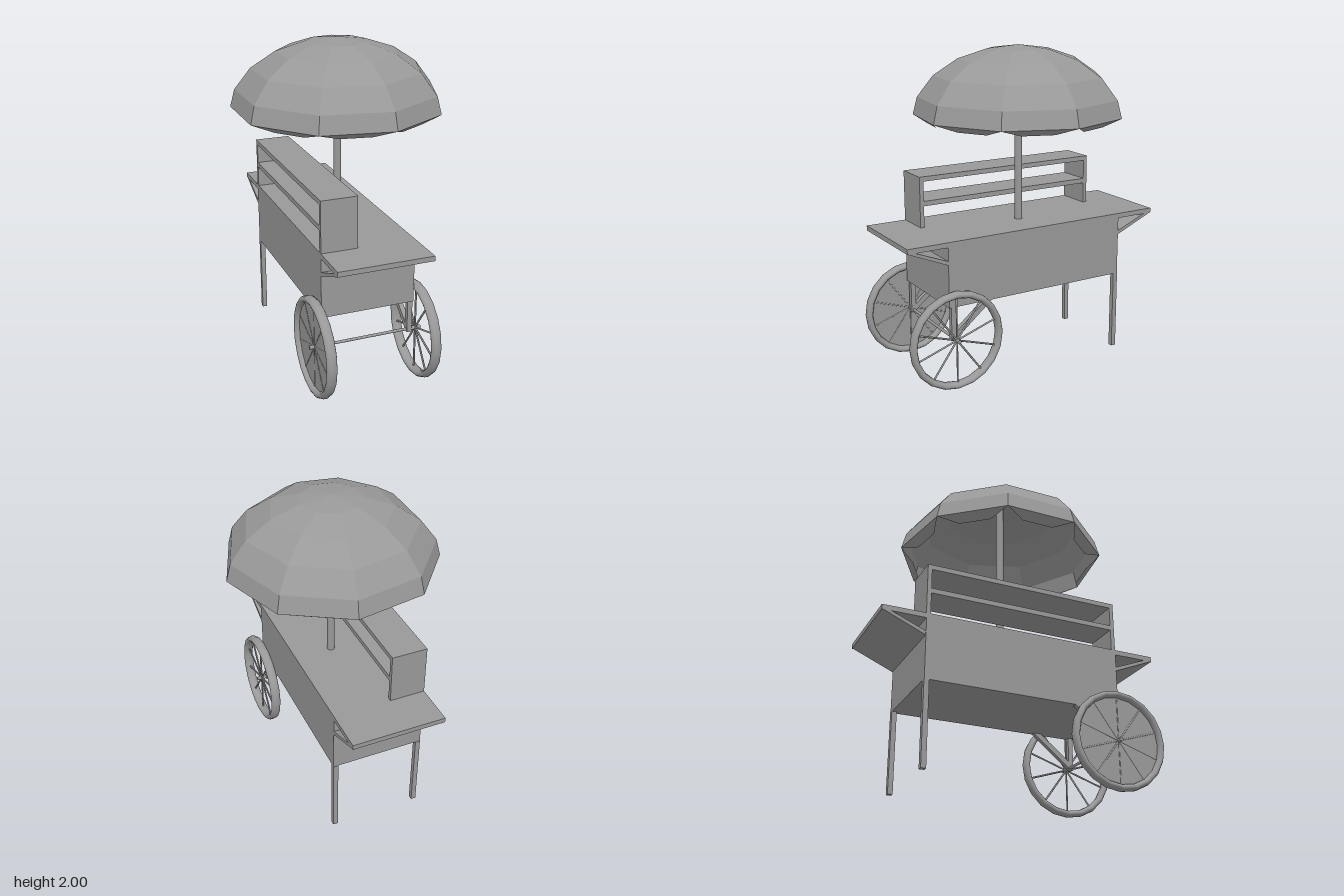
import * as THREE from 'three';

const grey = new THREE.MeshStandardMaterial({ color: 0x999999, side: THREE.DoubleSide });
grey.name = 'grey';

const X0 = -0.356, X1 = 0.23;          // cart sides
const LEG = 0.031;                     // leg thickness
const WHEEL_Y = 0.31, WHEEL_Z = 0.583;

function add(parent, name, geometry) {
  const mesh = new THREE.Mesh(geometry, grey);
  mesh.name = name;
  parent.add(mesh);
  return mesh;
}

// Box given by its extents on each axis
function block(parent, name, [x0, x1], [y0, y1], [z0, z1]) {
  const g = new THREE.BoxGeometry(x1 - x0, y1 - y0, z1 - z0);
  g.translate((x0 + x1) / 2, (y0 + y1) / 2, (z0 + z1) / 2);
  return add(parent, name, g);
}

// Side outline of [z, y] points, extruded from x0 to x1
function sideProfile(parent, name, points, x0, x1) {
  const shape = new THREE.Shape(points.map(([z, y]) => new THREE.Vector2(z, y)));
  const g = new THREE.ExtrudeGeometry(shape, { depth: x1 - x0, bevelEnabled: false });
  g.rotateY(-Math.PI / 2).translate(x1, 0, 0);
  return add(parent, name, g);
}

// Nine-panel canopy with a scalloped, inward-curling hem
function canopyGeometry() {
  const sides = 9;
  const profile = [[0, 2], [0.19, 1.976], [0.37, 1.916], [0.52, 1.815], [0.62, 1.685], [0.648, 1.578]];
  const at = ([r, y], i) => {
    const a = (i / sides) * Math.PI * 2;
    return new THREE.Vector3(Math.cos(a) * r, y, Math.sin(a) * r);
  };
  const out = [];
  const tri = (...ps) => ps.forEach((p) => out.push(p.x, p.y, p.z));
  const quad = (a, b, c, d) => { tri(a, b, c); tri(a, c, d); };
  for (let i = 0; i < sides; i++) {
    tri(at(profile[0], i), at(profile[1], i + 1), at(profile[1], i));
    for (let k = 1; k < profile.length - 1; k++) {
      quad(at(profile[k], i), at(profile[k], i + 1), at(profile[k + 1], i + 1), at(profile[k + 1], i));
    }
    const v1 = at(profile[5], i), v2 = at(profile[5], i + 1);
    const hem = (t) => {
      const p = v1.clone().lerp(v2, t);
      return new THREE.Vector3(p.x * 0.91, 1.538, p.z * 0.91);
    };
    quad(v1, v2, hem(0.74), hem(0.26));
  }
  const g = new THREE.BufferGeometry();
  g.setAttribute('position', new THREE.Float32BufferAttribute(out, 3));
  g.computeVertexNormals();
  return g;
}

// Spoked wheel lying in the side plane
function makeWheel(name, x, filled) {
  const wheel = new THREE.Group();
  wheel.name = name;
  wheel.position.set(x, WHEEL_Y, WHEEL_Z);
  const tyre = new THREE.TorusGeometry(0.286, 0.021, 12, 20);
  tyre.rotateZ(Math.PI / 2).scale(1, 1, 1.55).rotateY(Math.PI / 2);
  add(wheel, 'tyre', tyre);
  for (let i = 0; i < 10; i++) {
    const spoke = new THREE.CylinderGeometry(0.006, 0.006, 0.28, 6);
    spoke.translate(0, 0.14, 0).rotateX((i / 10) * Math.PI * 2);
    add(wheel, 'spoke', spoke);
  }
  const hub = new THREE.CylinderGeometry(0.012, 0.012, 0.066, 10);
  add(wheel, 'hub', hub.rotateZ(Math.PI / 2));
  if (filled) {
    const disc = new THREE.CylinderGeometry(0.284, 0.284, 0.006, 20);
    add(wheel, 'wheelDisc', disc.rotateZ(Math.PI / 2));
  }
  return wheel;
}

export function createModel() {
  const cart = new THREE.Group();
  cart.name = 'vendorCart';

  // Cabinet and counter
  block(cart, 'cabinet', [X0, X1], [0.507, 0.882], [-0.622, 0.614]);
  block(cart, 'counter', [X0, X1], [0.88, 0.911], [-0.887, 0.873]);

  // Sloped support panel under each counter end
  const support = [[0.614, 0.772], [0.873, 0.882], [0.825, 0.882], [0.614, 0.797]];
  sideProfile(cart, 'frontFlapSupport', support, X0, X1);
  sideProfile(cart, 'backFlapSupport', support.map(([z, y]) => [-z - 0.01, y]), X0, X1);

  // Open shelf along the right edge
  const shelf = new THREE.Group();
  shelf.name = 'shelf';
  cart.add(shelf);
  const sx = [X0, -0.132];
  block(shelf, 'shelfTop', sx, [1.198, 1.228], [-0.624, 0.614]);
  block(shelf, 'shelfBoard', sx, [1.044, 1.075], [-0.6, 0.59]);
  block(shelf, 'shelfFrontEnd', sx, [0.911, 1.198], [0.588, 0.614]);
  block(shelf, 'shelfBackEnd', sx, [0.911, 1.198], [-0.624, -0.598]);

  // Back legs, axle struts and diagonal braces
  for (const [side, x] of [['right', X0], ['left', X1 - LEG]]) {
    const xs = [x, x + LEG];
    block(cart, side + 'BackLeg', xs, [0, 0.507], [-0.624, -0.593]);
    block(cart, side + 'AxleStrut', xs, [0.296, 0.507], [0.57, 0.601]);
    sideProfile(cart, side + 'AxleBrace',
      [[0.575, 0.302], [0.575, 0.345], [0.375, 0.507], [0.322, 0.507]], ...xs);
  }

  // Wheels and axle
  const axle = new THREE.CylinderGeometry(0.009, 0.009, 0.65, 10);
  axle.rotateZ(Math.PI / 2).translate(-0.063, WHEEL_Y, WHEEL_Z);
  add(cart, 'axle', axle);
  cart.add(makeWheel('rightWheel', -0.388, true), makeWheel('leftWheel', 0.261, false));

  // Umbrella
  const umbrella = new THREE.Group();
  umbrella.name = 'umbrella';
  umbrella.position.set(-0.014, 0, -0.013);
  cart.add(umbrella);
  const pole = new THREE.CylinderGeometry(0.024, 0.024, 1.08, 16);
  add(umbrella, 'pole', pole.translate(0, 1.45, 0));
  add(umbrella, 'canopy', canopyGeometry());

  return cart;
}
